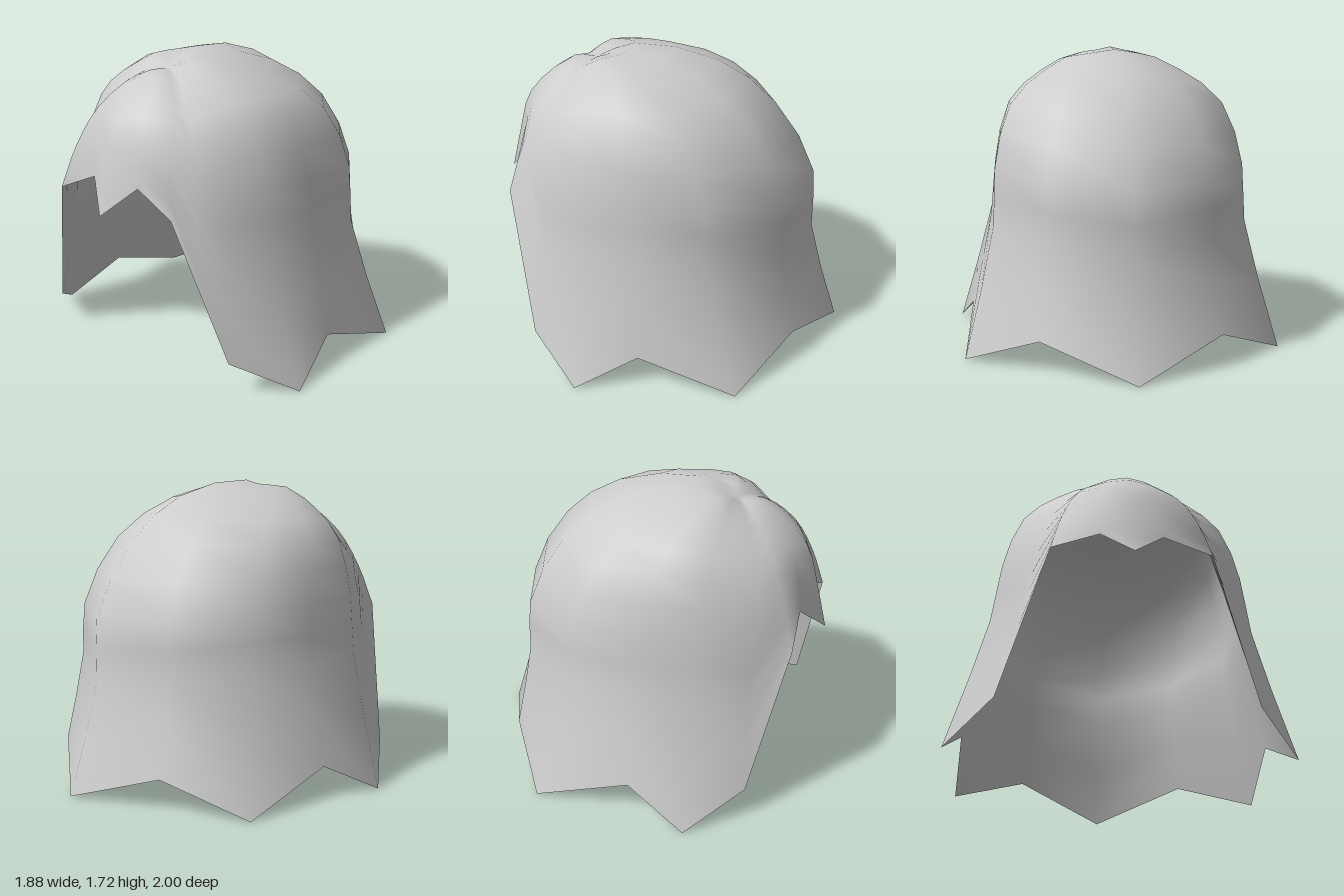
import * as THREE from 'three';

const ROWS = 12;
const WHORL = [0, 1.63, 0.46];

// Fringe strands on the model's left half, middle outwards, each from crown to tip
const FRINGE = [
  [[0, 1.61, 0.62], [0, 1.4, 0.86], [0, 1.15, 0.94], [0, 0.91, 1.0]],
  [[0.07, 1.61, 0.6], [0.14, 1.43, 0.79], [0.16, 1.25, 0.86], [0.17, 1.07, 0.88]],
  [[0.13, 1.59, 0.58], [0.28, 1.42, 0.73], [0.37, 1.2, 0.83], [0.43, 0.96, 0.9]],
];

// Longer strands of the side lock, side and back, front to back
const LENGTHS = [
  [[0.12, 1.61, 0.52], [0.26, 1.5, 0.61], [0.41, 1.3, 0.69], [0.51, 1.0, 0.71], [0.57, 0.7, 0.69], [0.68, 0.18, 0.74]],
  [[0.17, 1.65, 0.46], [0.38, 1.56, 0.46], [0.57, 1.4, 0.46], [0.68, 1.08, 0.46], [0.73, 0.74, 0.45], [0.94, 0, 0.46]],
  [[0.18, 1.68, 0.4], [0.42, 1.58, 0.28], [0.62, 1.4, 0.2], [0.71, 1.05, 0.13], [0.74, 0.73, 0.1], [0.86, 0.18, 0.11]],
  [[0.15, 1.69, 0.33], [0.4, 1.59, 0.09], [0.62, 1.4, -0.12], [0.715, 1.05, -0.25], [0.73, 0.72, -0.27], [0.9, 0, -0.44]],
  [[0.09, 1.7, 0.25], [0.23, 1.62, -0.14], [0.37, 1.39, -0.44], [0.45, 1.0, -0.63], [0.455, 0.7, -0.645], [0.5, 0.18, -0.74]],
  [[0, 1.72, 0.24], [0, 1.64, -0.24], [0, 1.4, -0.57], [0, 0.98, -0.81], [0, 0.62, -0.82], [0, 0, -1.0]],
];

const STRANDS = [...FRINGE, ...LENGTHS];

// Smooth path from the whorl to the tip of one strand
function strandPoints(strand, side) {
  const points = [WHORL, ...strand].map(([x, y, z]) => new THREE.Vector3(x * side, y, z));
  return new THREE.CatmullRomCurve3(points, false, 'centripetal').getPoints(ROWS).slice(1);
}

// Open shell lofted between neighbouring strands, all meeting at the whorl
function hairGeometry() {
  const columns = STRANDS.map((s) => strandPoints(s, 1));
  for (let i = STRANDS.length - 2; i > 0; i--) columns.push(strandPoints(STRANDS[i], -1));

  const positions = [...WHORL];
  columns.forEach((column) => column.forEach((p) => positions.push(p.x, p.y, p.z)));

  const index = [];
  const n = columns.length;
  const at = (c, r) => 1 + (c % n) * ROWS + r;
  for (let c = 0; c < n; c++) {
    index.push(0, at(c, 0), at(c + 1, 0));
    for (let r = 0; r < ROWS - 1; r++) {
      index.push(at(c, r), at(c, r + 1), at(c + 1, r + 1));
      index.push(at(c, r), at(c + 1, r + 1), at(c + 1, r));
    }
  }
  const geometry = new THREE.BufferGeometry();
  geometry.setAttribute('position', new THREE.Float32BufferAttribute(positions, 3));
  geometry.setIndex(index);
  geometry.computeVertexNormals();
  return geometry;
}

export function createModel() {
  const group = new THREE.Group();
  group.name = 'hair';
  const grey = new THREE.MeshStandardMaterial({ color: 0xcccccc, side: THREE.DoubleSide });
  grey.name = 'light grey';

  const shell = new THREE.Mesh(hairGeometry(), grey);
  shell.name = 'hairShell';
  group.add(shell);
  return group;
}
